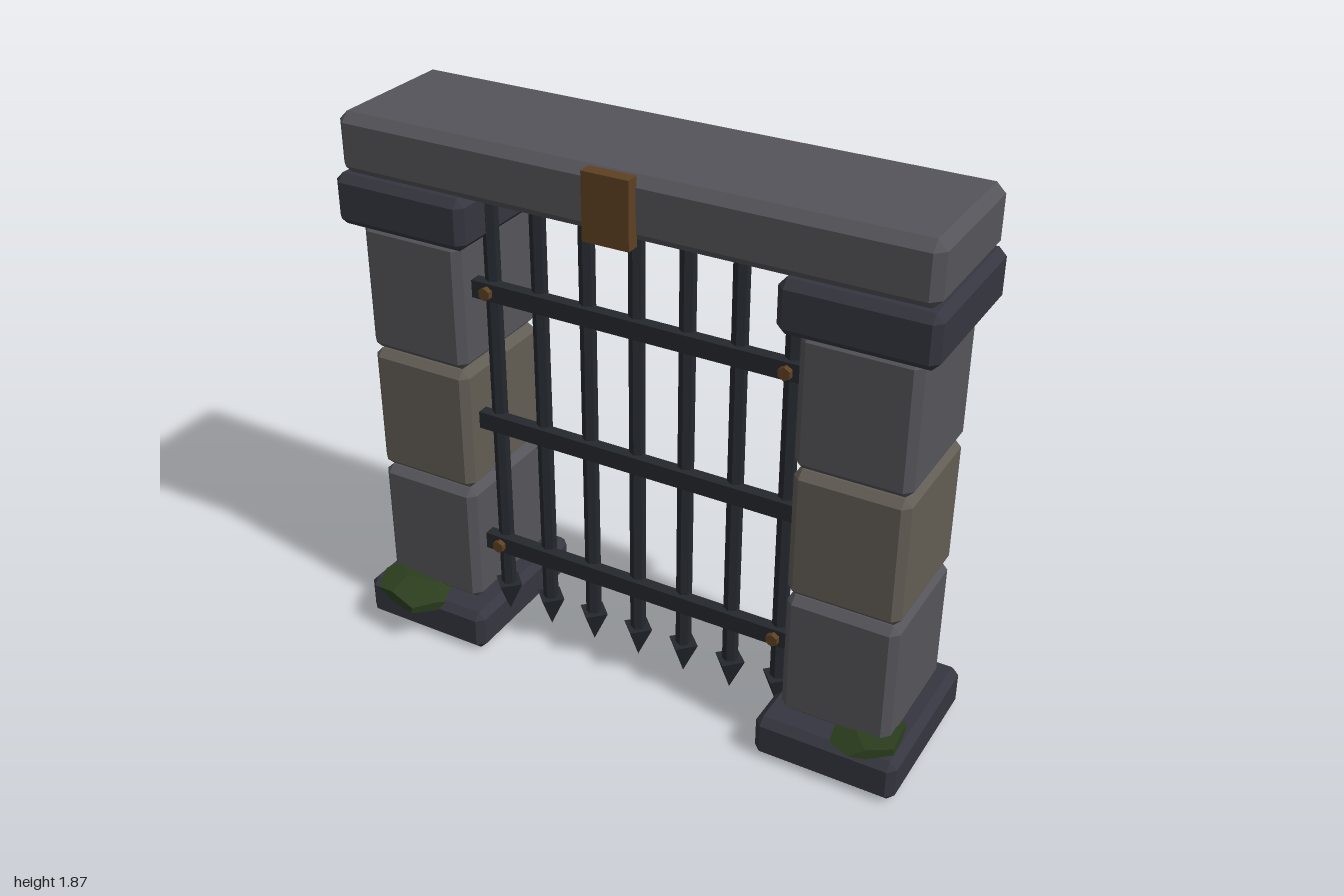
import * as THREE from 'three';
import { ConvexGeometry } from 'three/addons/geometries/ConvexGeometry.js';

const mat = (color) => new THREE.MeshStandardMaterial({ color, flatShading: true });

// Box with every edge and corner chamfered
function chamferBox(w, h, d, c) {
  const points = [];
  for (const x of [-1, 1]) for (const y of [-1, 1]) for (const z of [-1, 1]) {
    const [a, b, e] = [w / 2, h / 2, d / 2];
    points.push(
      new THREE.Vector3(x * a, y * (b - c), z * (e - c)),
      new THREE.Vector3(x * (a - c), y * b, z * (e - c)),
      new THREE.Vector3(x * (a - c), y * (b - c), z * e));
  }
  return new ConvexGeometry(points);
}

export function createModel() {
  const group = new THREE.Group();
  const stone = mat(0x55545a), darkStone = mat(0x35363f), sandStone = mat(0x625d54);
  const iron = mat(0x24282d), wood = mat(0x5e4022), moss = mat(0x2b3d1d);

  function add(name, geometry, material, x, y, z) {
    const mesh = new THREE.Mesh(geometry, material);
    mesh.name = name;
    mesh.position.set(x, y, z);
    group.add(mesh);
    return mesh;
  }

  // Pillars: foot, three stacked blocks, cap
  const foot = chamferBox(0.48, 0.15, 0.575, 0.025);
  const block = chamferBox(0.37, 0.445, 0.435, 0.025);
  const cap = chamferBox(0.48, 0.17, 0.53, 0.025);
  for (const [side, s] of [['left', 1], ['right', -1]]) {
    const x = s * 0.76;
    add(side + 'PillarFoot', foot, darkStone, x, 0.075, -0.048);
    for (let i = 0; i < 3; i++) {
      add(side + 'PillarBlock' + (i + 1), block, i === 1 ? sandStone : stone, x, 0.378 + i * 0.45, -0.048);
    }
    add(side + 'PillarCap', cap, darkStone, x, 1.585, -0.048);
  }

  // Lintel and its wooden plate
  add('lintel', chamferBox(1.965, 0.2, 0.5, 0.03), stone, 0, 1.767, -0.05);
  add('lintelPlate', new THREE.BoxGeometry(0.155, 0.215, 0.045), wood, 0, 1.764, 0.217);

  // Upright bars with downward spikes
  const bar = new THREE.CylinderGeometry(0.026, 0.026, 1.48, 6);
  const spike = new THREE.ConeGeometry(0.054, 0.12, 4);
  for (let i = -3; i <= 3; i++) {
    add('uprightBar', bar, iron, i * 0.173, 0.935, 0.062);
    add('barSpike', spike, iron, i * 0.173, 0.14, 0.062).rotation.x = Math.PI;
  }

  // Cross bars, with rivets on the top and bottom ones
  const crossBar = new THREE.BoxGeometry(1.18, 0.06, 0.04);
  const rivet = new THREE.CylinderGeometry(0.022, 0.022, 0.025, 6);
  for (const y of [0.375, 0.853, 1.33]) {
    add('crossBar', crossBar, iron, 0, y, 0.083);
    if (y === 0.853) continue;
    for (const s of [-1, 1]) add('rivet', rivet, wood, s * 0.517, y, 0.11).rotation.x = Math.PI / 2;
  }

  // Flattened, tilted moss clumps at the pillar feet
  function mossClump(name, r, x, y, z, tilt, turn) {
    const geometry = new THREE.DodecahedronGeometry(r, 0);
    geometry.rotateY(turn).scale(1, 0.24, 1).rotateZ(tilt);
    add(name, geometry, moss, x, y, z);
  }
  mossClump('rightMoss', 0.145, -0.805, 0.158, 0.195, -0.2, 0.4);
  mossClump('leftMoss', 0.128, 0.87, 0.162, 0.14, 0.1, 1.1);

  return group;
}
